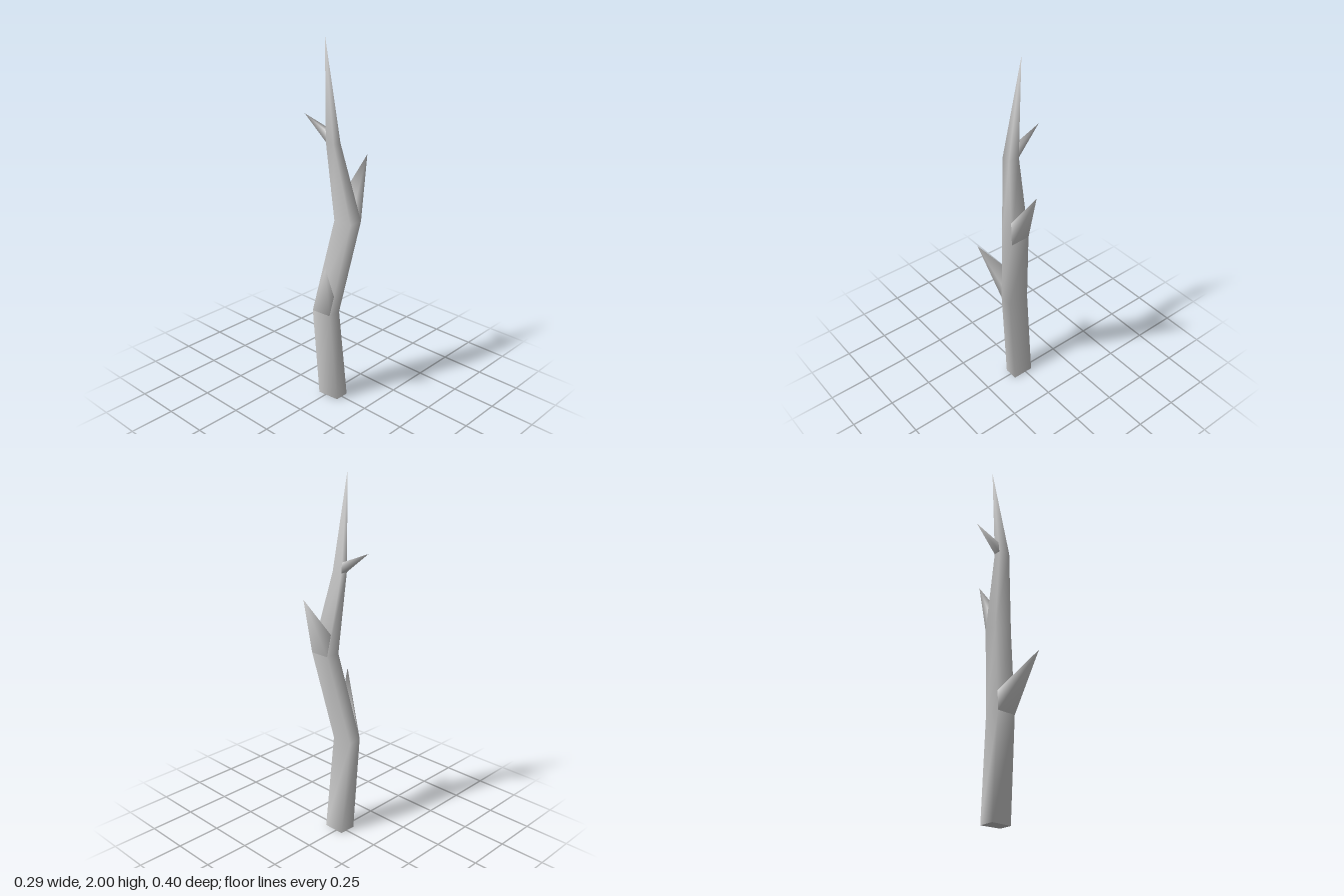
import * as THREE from 'three';

const v = (x, y, z) => new THREE.Vector3(x, y, z);

// Four-cornered cross-sections, bottom to top: front left, front right, back right, back left
const ring = (y, corners) => corners.map(([x, z]) => v(x, y, z));
const rings = [
  ring(0, [[-0.045, 0.053], [0.08, 0.04], [0.08, -0.04], [-0.042, -0.04]]),
  ring(0.54, [[-0.045, 0.1], [0.07, 0.09], [0.07, 0.015], [-0.053, 0.015]]),
  ring(1.05, [[0.02, 0], [0.13, -0.003], [0.13, -0.085], [0.02, -0.083]]),
  ring(1.48, [[0.008, 0.05], [0.07, 0.06], [0.07, 0.01], [0.008, 0.01]]),
];
const apex = v(-0.02, 2, 0.025);

// Smooth skin through the given loops, closing in a point
function spike(loops, tip) {
  const n = loops[0].length;
  const points = [...loops.flat(), tip];
  const index = [];
  loops.forEach((loop, j) => {
    for (let i = 0; i < n; i++) {
      const a = j * n + i, b = j * n + (i + 1) % n;
      if (j === loops.length - 1) index.push(a, b, points.length - 1);
      else index.push(a, b, b + n, a, b + n, a + n);
    }
  });
  const g = new THREE.BufferGeometry().setFromPoints(points);
  g.setIndex(index);
  g.computeVertexNormals();
  return g;
}

// Side shoot growing from the lower strip of one trunk face
function shoot(level, side, t, tip) {
  const next = (side + 1) % 4;
  const low = rings[level];
  const up = (i) => low[i].clone().lerp(level < 3 ? rings[level + 1][i] : apex, t);
  return spike([[low[side], low[next], up(next), up(side)]], tip);
}

export function createModel() {
  const group = new THREE.Group();
  const material = new THREE.MeshStandardMaterial({ color: 0xcccccc });
  const add = (name, geometry) => {
    const mesh = new THREE.Mesh(geometry, material);
    mesh.name = name;
    group.add(mesh);
  };

  add('trunk', spike(rings, apex));

  // Flat cut at the foot, facing down
  const cut = new THREE.BufferGeometry().setFromPoints(rings[0]);
  cut.setIndex([0, 2, 1, 0, 3, 2]);
  cut.computeVertexNormals();
  add('trunkBase', cut);

  add('frontShoot', shoot(1, 0, 0.22, v(0.145, 0.88, 0.2)));
  add('backShoot', shoot(2, 2, 0.27, v(0.067, 1.375, -0.2)));
  add('sideShoot', shoot(3, 3, 0.11, v(-0.145, 1.6, 0.045)));
  return group;
}
